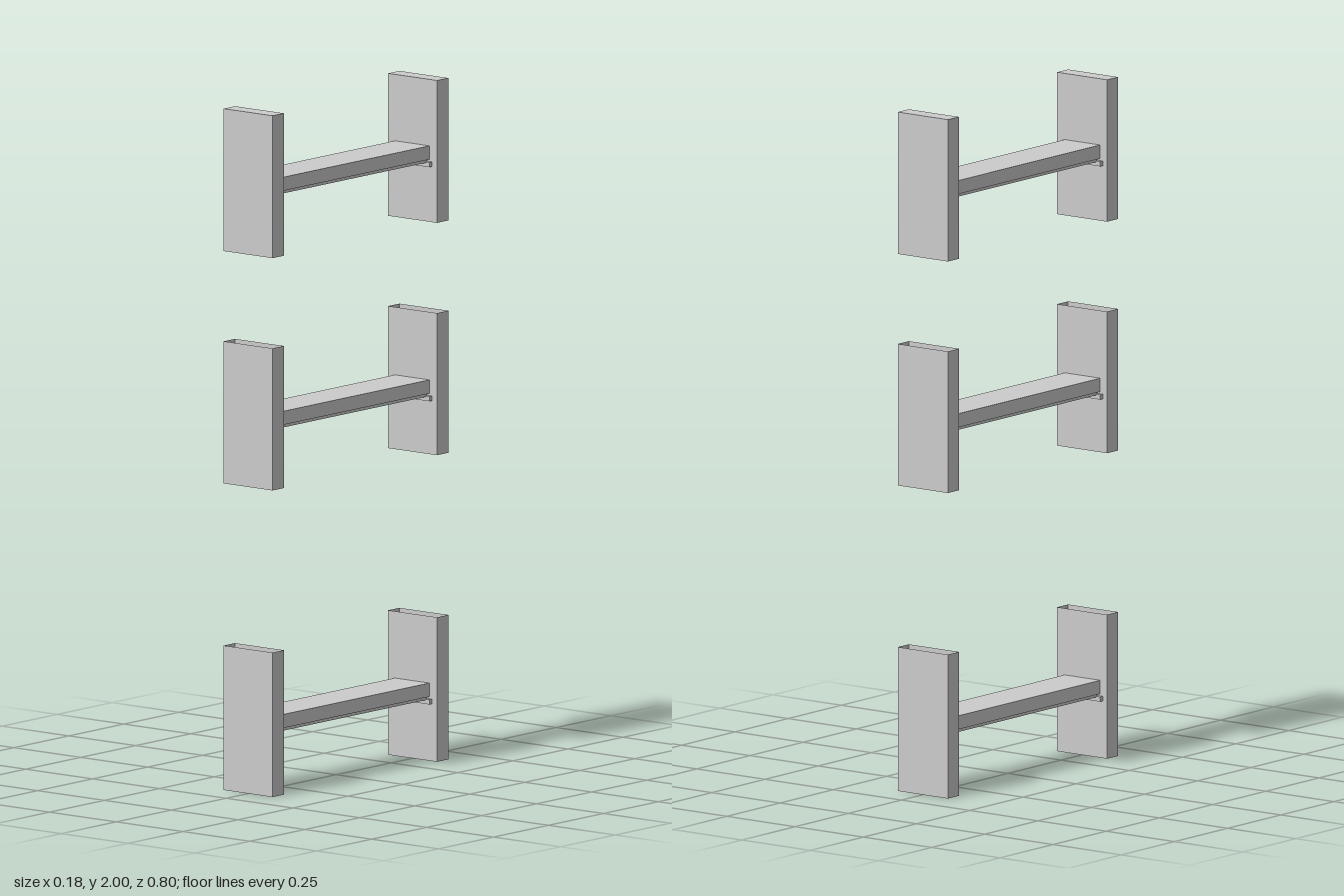
import * as THREE from 'three';

const material = new THREE.MeshStandardMaterial({ color: 0xcccccc, flatShading: true, side: THREE.DoubleSide });

// Box given by its limits on each axis; the top or bottom face can be left open
function box(name, [x0, x1], [y0, y1], [z0, z1], hasTop = true, hasBottom = true) {
  const geometry = new THREE.BoxGeometry(x1 - x0, y1 - y0, z1 - z0);
  const index = Array.from(geometry.index.array).filter((_, i) => {
    const face = Math.floor(i / 6);
    return !(face === 2 && !hasTop) && !(face === 3 && !hasBottom);
  });
  geometry.setIndex(index);
  geometry.clearGroups();
  const mesh = new THREE.Mesh(geometry, material);
  mesh.name = name;
  mesh.position.set((x0 + x1) / 2, (y0 + y1) / 2, (z0 + z1) / 2);
  return mesh;
}

// One tier: two post segments joined by a rail on small end supports
function createTier({ name, post, railTop, hasTop, hasBottom }) {
  const tier = new THREE.Group();
  tier.name = name;
  tier.add(box('frontPost', [-0.092, 0.091], post, [0.348, 0.4], hasTop, hasBottom));
  tier.add(box('backPost', [-0.092, 0.091], post, [-0.4, -0.348], hasTop, hasBottom));

  const railBottom = railTop - 0.04;
  tier.add(box('rail', [-0.067, 0.063], [railBottom, railTop], [-0.348, 0.348]));
  tier.add(box('railUnderside', [-0.062, 0.058], [railBottom - 0.009, railBottom], [-0.34, 0.34]));

  // Supports project slightly past both sides of the rail
  const supportY = [railBottom - 0.02, railBottom - 0.006];
  tier.add(box('frontSupport', [-0.077, 0.073], supportY, [0.335, 0.348]));
  tier.add(box('backSupport', [-0.077, 0.073], supportY, [-0.348, -0.335]));
  return tier;
}

export function createModel() {
  const model = new THREE.Group();
  model.name = 'threeTierRack';
  // Post segments are hollow where they face the gap between tiers
  const tiers = [
    { name: 'lowerTier', post: [0, 0.424], railTop: 0.228, hasTop: false, hasBottom: true },
    { name: 'middleTier', post: [0.9, 1.317], railTop: 1.118, hasTop: false, hasBottom: false },
    { name: 'upperTier', post: [1.582, 2], railTop: 1.805, hasTop: true, hasBottom: false },
  ];
  for (const tier of tiers) model.add(createTier(tier));
  return model;
}
